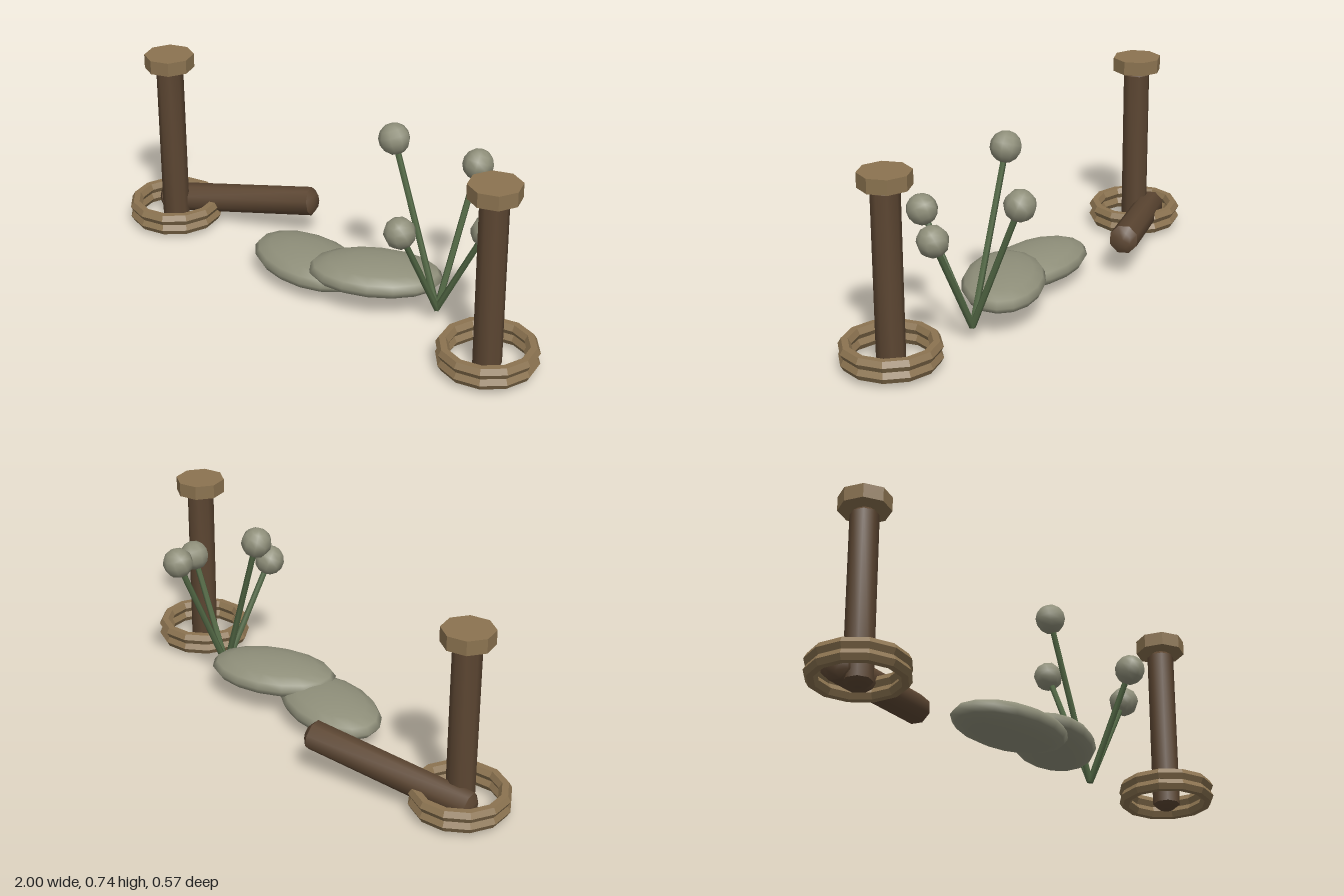
import * as THREE from 'three';
import { toCreasedNormals } from 'three/addons/utils/BufferGeometryUtils.js';

const mat = (name, color, extra = {}) => {
  const m = new THREE.MeshStandardMaterial({ color, ...extra });
  m.name = name;
  return m;
};

export function createModel() {
  const model = new THREE.Group();
  model.name = 'campPosts';
  const bark = mat('bark', 0x5c4632);
  const tan = mat('tanRope', 0x8b7350, { flatShading: true });
  const stone = mat('sageGrey', 0x8f8f7a);
  const green = mat('stemGreen', 0x556b47);

  const add = (parent, name, geo, material, pos = [0, 0, 0]) => {
    const m = new THREE.Mesh(geo, material);
    m.name = name;
    m.position.set(...pos);
    parent.add(m);
    return m;
  };
  const UP = new THREE.Vector3(0, 1, 0);
  // Turn a mesh whose base is at its origin so that it points from a to b
  const aim = (mesh, a, b) => {
    mesh.position.copy(a);
    mesh.quaternion.setFromUnitVectors(UP, b.clone().sub(a).normalize());
  };

  // Log with bevelled ends, shared by the posts and the fallen log
  const logGeometry = (r, h) => toCreasedNormals(new THREE.LatheGeometry([
    [0, 0], [r * 0.54, 0], [r, 0.02], [r, h - 0.02], [r * 0.54, h], [0, h],
  ].map(([x, y]) => new THREE.Vector2(x, y)), 8), 0.82);

  // Two posts, each with a cap and a pair of rings around the foot
  const post = logGeometry(0.053, 0.68);
  const cap = new THREE.CylinderGeometry(0.097, 0.097, 0.055, 8);
  const ring = new THREE.TorusGeometry(0.1633, 0.0242, 6, 12).rotateX(-Math.PI / 2);
  for (const side of [-1, 1]) {
    const g = new THREE.Group();
    g.name = side < 0 ? 'rightPost' : 'leftPost';
    g.position.set(side * 0.811, 0, 0.1);
    add(g, 'postShaft', post, bark);
    add(g, 'postCap', cap, tan, [0, 0.705, 0]);
    add(g, 'lowerRing', ring, tan, [0, 0.041, 0]);
    add(g, 'upperRing', ring, tan, [0, 0.083, 0]);
    model.add(g);
  }

  // Fallen log leaning over the right foot
  const a = new THREE.Vector3(-0.91, 0.064, 0.078);
  const b = new THREE.Vector3(-0.28, 0.165, -0.173);
  aim(add(model, 'fallenLog', logGeometry(0.057, a.distanceTo(b)), bark), a, b);

  // Flat stones
  const pebble = new THREE.SphereGeometry(1, 16, 8).scale(0.258, 0.062, 0.158);
  add(model, 'flatStone', pebble, stone, [-0.07, 0.086, 0.09]).rotation.y = -0.05;
  add(model, 'upperFlatStone', pebble, stone, [0.222, 0.127, 0.035]).rotation.y = 0.52;

  // Bunch of stems with round heads
  const base = new THREE.Vector3(0.484, 0.055, -0.012);
  const head = new THREE.SphereGeometry(0.059, 9, 7);
  for (const p of [[0.265, 0.68, -0.011], [0.484, 0.572, -0.226], [0.484, 0.462, 0.206], [0.7, 0.462, -0.011]]) {
    const tip = new THREE.Vector3(...p);
    const len = base.distanceTo(tip);
    const stem = new THREE.CylinderGeometry(0.012, 0.013, len, 5).translate(0, len / 2, 0);
    aim(add(model, 'stem', stem, green), base, tip);
    aim(add(model, 'stemHead', head, stone), tip, tip.clone().multiplyScalar(2).sub(base));
  }
  return model;
}
